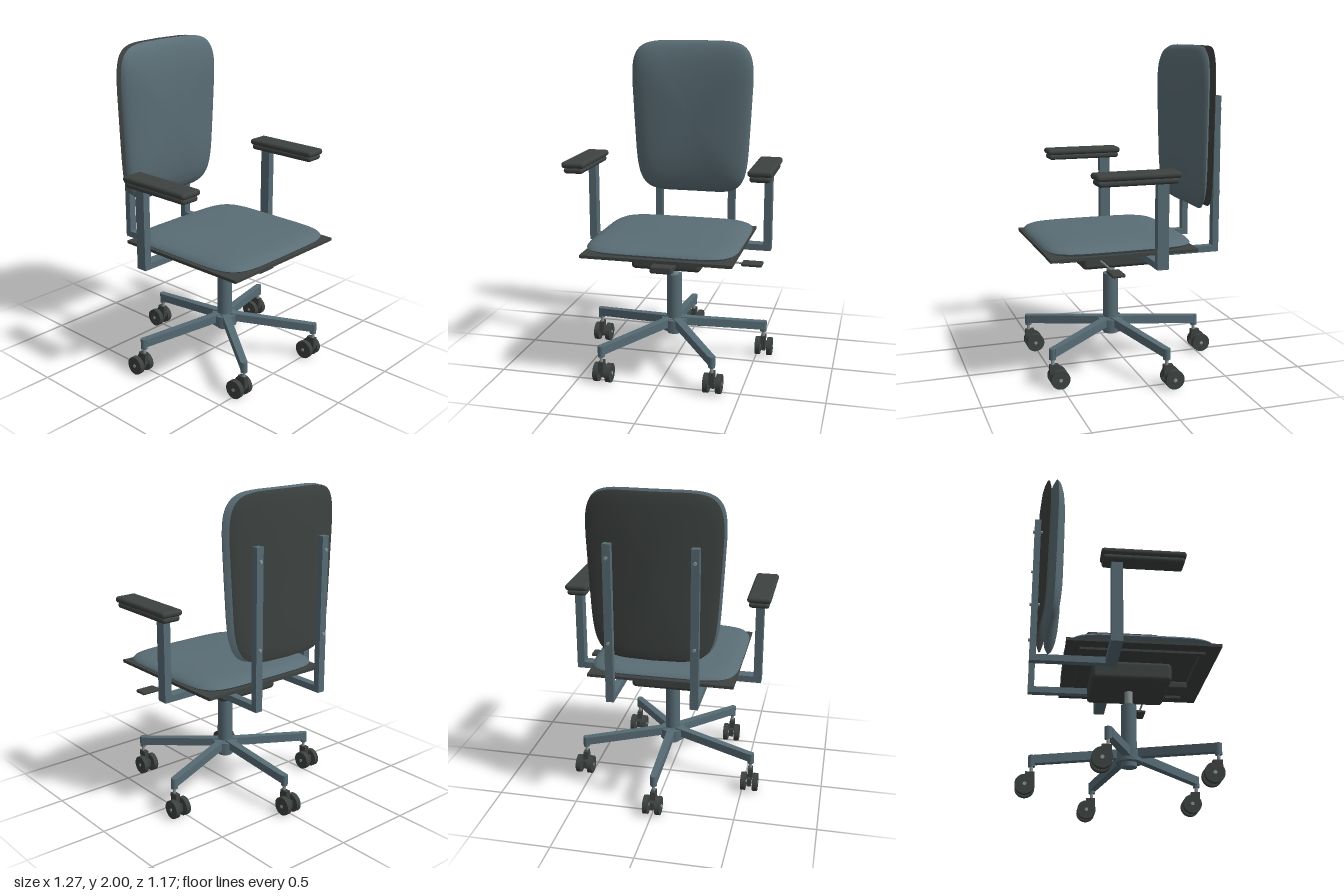
import * as THREE from 'three';
import { RoundedBoxGeometry } from 'three/addons/geometries/RoundedBoxGeometry.js';

const mat = (name, color, side = THREE.FrontSide) => {
  const m = new THREE.MeshStandardMaterial({ color, side });
  m.name = name;
  return m;
};

export function createModel() {
  const fabric = mat('slate fabric', 0x5a6d75);
  const metal = mat('slate metal', 0x566b74);
  const plastic = mat('charcoal plastic', 0x3d4240);
  const steel = mat('light steel', 0x8d9495);

  const model = new THREE.Group();
  model.name = 'officeChair';

  const add = (parent, name, geo, material, x = 0, y = 0, z = 0) => {
    const mesh = new THREE.Mesh(geo, material);
    mesh.name = name;
    mesh.position.set(x, y, z);
    parent.add(mesh);
    return mesh;
  };
  const box = (w, h, d) => new THREE.BoxGeometry(w, h, d);
  const round = (w, h, d, r) => new RoundedBoxGeometry(w, h, d, 3, r);
  const cyl = (r, h, n = 24) => new THREE.CylinderGeometry(r, r, h, n);
  const group = (name, parent = model) => {
    const g = new THREE.Group();
    g.name = name;
    parent.add(g);
    return g;
  };

  // One half of a pillow: nested rounded outlines, each [scale, height], closed at the middle
  function halfPillow(outline, rings, bend, up) {
    const N = 64, pos = [], idx = [];
    for (const [s, h] of rings) {
      for (let i = 0; i < N; i++) {
        const [x, y] = outline((i / N) * Math.PI * 2);
        pos.push(x * s, y * s, h + bend(x * s));
      }
    }
    const tri = (a, b, c) => (up ? idx.push(a, b, c) : idx.push(a, c, b));
    for (let r = 0; r < rings.length - 1; r++) {
      for (let i = 0; i < N; i++) {
        const a = r * N + i, b = r * N + (i + 1) % N;
        tri(a, b, b + N);
        tri(a, b + N, a + N);
      }
    }
    const mid = pos.length / 3, last = (rings.length - 1) * N;
    pos.push(0, 0, rings[rings.length - 1][1] + bend(0));
    for (let i = 0; i < N; i++) tri(last + i, last + (i + 1) % N, mid);
    const g = new THREE.BufferGeometry();
    g.setAttribute('position', new THREE.Float32BufferAttribute(pos, 3));
    g.setIndex(idx);
    g.computeVertexNormals();
    return g;
  }
  const power = (v, n) => Math.sign(v) * Math.abs(v) ** (2 / n);
  const squircle = (w, h, taper = 0, n = 5.5) => (t) => {
    const v = power(Math.sin(t), n);
    return [power(Math.cos(t), n) * (w + taper * v), v * h];
  };

  // Seat cushion
  const flat = () => 0;
  const seatOutline = squircle(0.46, 0.455);
  const seat = group('seat');
  const seatTop = [[1, 0], [0.98, 0.012], [0.93, 0.023], [0.85, 0.032], [0.7, 0.038], [0.4, 0.042], [0.1, 0.044]];
  const seatBottom = [[1, 0], [0.96, -0.015], [0.9, -0.024], [0.1, -0.025]];
  add(seat, 'seatCushionTop', halfPillow(seatOutline, seatTop, flat, true).rotateX(-Math.PI / 2), fabric, 0, 0.831, 0.125);
  add(seat, 'seatCushionBottom', halfPillow(seatOutline, seatBottom, flat, false).rotateX(-Math.PI / 2), fabric, 0, 0.831, 0.125);

  // Seat pan: flanged plate, raised rim and a recessed floor
  const frame = (outer, inner, depth) => {
    const rect = (P, r) => {
      const p = new P();
      p.moveTo(-r, -r); p.lineTo(r, -r); p.lineTo(r, r); p.lineTo(-r, r); p.closePath();
      return p;
    };
    const s = rect(THREE.Shape, outer);
    s.holes.push(rect(THREE.Path, inner));
    return new THREE.ExtrudeGeometry(s, { depth, bevelEnabled: false }).rotateX(-Math.PI / 2);
  };
  add(seat, 'seatFlange', frame(0.453, 0.34, 0.018), plastic, 0, 0.79, 0.125);
  add(seat, 'seatRim', frame(0.37, 0.34, 0.015), plastic, 0, 0.775, 0.125);
  add(seat, 'seatPanFloor', box(0.69, 0.006, 0.69), plastic, 0, 0.804, 0.125);

  // Backrest cushion and rear shell, both curved around the sitter
  const back = group('backrest');
  const cushionOutline = squircle(0.393, 0.5, 0.026);
  const cushionBend = (x) => 0.26 * x * x;
  const cushionFront = [[1, 0], [0.98, 0.016], [0.94, 0.03], [0.87, 0.046], [0.75, 0.062], [0.55, 0.076], [0.3, 0.083], [0.1, 0.085]];
  const cushionRear = [[1, 0], [0.95, -0.014], [0.85, -0.024], [0.6, -0.028], [0.3, -0.03], [0.1, -0.03]];
  add(back, 'backCushionFront', halfPillow(cushionOutline, cushionFront, cushionBend, true), fabric, 0, 1.5, -0.435);
  add(back, 'backCushionRear', halfPillow(cushionOutline, cushionRear, cushionBend, false), fabric, 0, 1.5, -0.435);
  const shellOutline = squircle(0.383, 0.494, 0.026);
  const shellBend = (x) => 0.34 * x * x;
  const shellFront = [[1, 0], [0.94, 0.015], [0.8, 0.025], [0.5, 0.028], [0.1, 0.028]];
  const shellRear = [[1, 0], [0.96, -0.006], [0.85, -0.011], [0.5, -0.013], [0.1, -0.013]];
  add(back, 'backShellFront', halfPillow(shellOutline, shellFront, shellBend, true), plastic, 0, 1.503, -0.495);
  add(back, 'backShellRear', halfPillow(shellOutline, shellRear, shellBend, false), plastic, 0, 1.503, -0.495);

  // Bent bars carrying the back and the armrests, mirrored
  for (const side of [1, -1]) {
    const bars = group(side > 0 ? 'leftFrame' : 'rightFrame');
    add(bars, 'backUpright', box(0.048, 0.965, 0.04), metal, side * 0.252, 1.2175, -0.515);
    add(bars, 'backLowerBar', box(0.048, 0.04, 0.48), metal, side * 0.252, 0.755, -0.255);
    add(bars, 'armCrossBar', box(0.39, 0.04, 0.07), metal, side * 0.395, 0.755, -0.05);
    add(bars, 'armUpright', box(0.047, 0.49, 0.068), metal, side * 0.567, 0.997, -0.05);
    for (const y of [1.11, 1.62]) {
      add(bars, 'backScrew', cyl(0.01, 0.075, 12).rotateX(Math.PI / 2), steel, side * 0.252, y, -0.508);
    }
    add(bars, 'armPadBase', round(0.122, 0.036, 0.48, 0.017), plastic, side * 0.565, 1.257, 0.105);
    add(bars, 'armPad', round(0.144, 0.038, 0.5, 0.018), plastic, side * 0.565, 1.291, 0.105);
  }

  // Tilt mechanism with front knob and side lever
  const tilt = group('tiltMechanism');
  add(tilt, 'mechanismHousing', round(0.43, 0.117, 0.48, 0.025), plastic, 0, 0.723, 0.08);
  add(tilt, 'mechanismMount', box(0.3, 0.03, 0.3), plastic, 0, 0.79, 0.08);
  add(tilt, 'frontKnob', round(0.135, 0.046, 0.13, 0.012), plastic, 0, 0.702, 0.37);
  add(tilt, 'leverRod', cyl(0.006, 0.27, 12).rotateZ(Math.PI / 2), steel, 0.33, 0.716, 0.21);
  add(tilt, 'leverPaddle', round(0.125, 0.02, 0.08, 0.008), plastic, 0.513, 0.716, 0.21);

  // Column and five-leg base
  const base = group('base');
  base.position.z = 0.083;
  add(base, 'gasLift', cyl(0.025, 0.12), steel, 0, 0.62, 0);
  add(base, 'column', cyl(0.047, 0.39), metal, 0, 0.383, 0);
  add(base, 'hub', cyl(0.08, 0.07), metal, 0, 0.25, 0);

  const R = 0.575;
  for (let i = 0; i < 5; i++) {
    const a = Math.PI + (i * Math.PI * 2) / 5;
    const x = R * Math.sin(a), z = R * Math.cos(a);
    // Sloping leg with its end socket
    const leg = box(0.05, 0.052, 0.54);
    const p = leg.attributes.position;
    for (let k = 0; k < p.count; k++) {
      p.setY(k, p.getY(k) - 0.1 * p.getZ(k));
      if (p.getZ(k) > 0) p.setX(k, p.getX(k) * 0.85);
    }
    leg.computeVertexNormals();
    leg.translate(0, 0.242, 0.3).rotateY(a);
    add(base, 'leg', leg, metal);
    add(base, 'legSocket', cyl(0.021, 0.068, 16), metal, x, 0.208, z);

    // Twin-wheel caster trailing to the back
    const caster = group('caster', base);
    caster.position.set(x, 0, z);
    add(caster, 'casterStem', cyl(0.01, 0.07, 12), steel, 0, 0.155, 0);
    add(caster, 'casterHousing', box(0.03, 0.075, 0.055), plastic, 0, 0.105, -0.008);
    add(caster, 'casterBracket', box(0.026, 0.05, 0.06), plastic, 0, 0.062, -0.035);
    add(caster, 'casterAxle', cyl(0.011, 0.115, 12).rotateZ(Math.PI / 2), steel, 0, 0.058, -0.036);
    for (const s of [1, -1]) {
      add(caster, 'wheel', cyl(0.058, 0.031, 28).rotateZ(Math.PI / 2), plastic, s * 0.038, 0.058, -0.036);
    }
  }
  return model;
}
